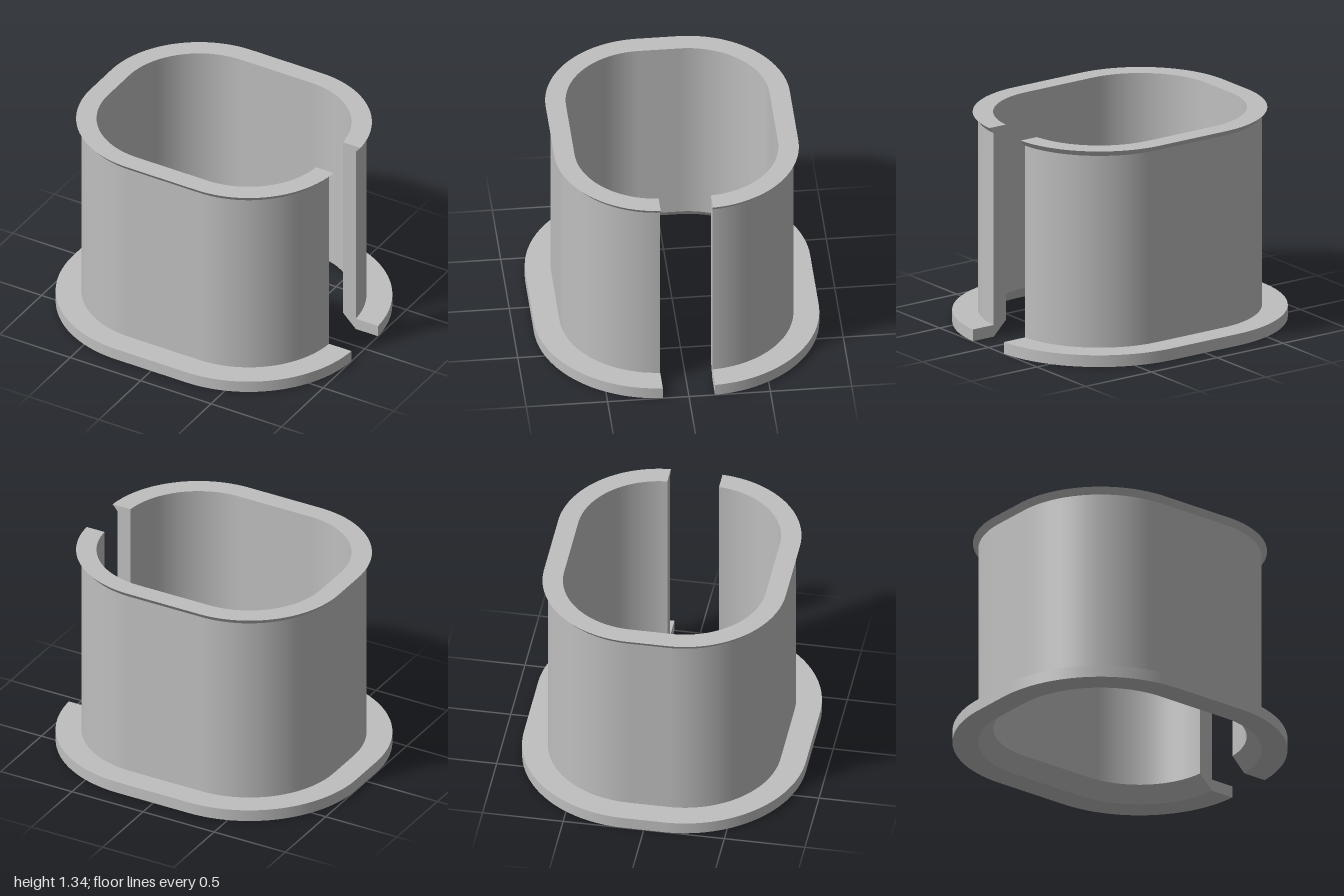
import * as THREE from 'three';

// Rounded-rectangle path: corner centres at (±CX, ±CZ), open at +x between z = ±GAP
const CX = 0.25, CZ = 0.125, GAP = 0.16, STEPS = 32;
const CORNERS = [[CX, CZ], [-CX, CZ], [-CX, -CZ], [CX, -CZ]];
const cutAngle = (r) => Math.asin((GAP - CZ) / r);

// Cross-section corners: [corner radius, height]
const P = {
  chamferLow: [0.592, 0], rimLow: [0.75, 0], rimHigh: [0.75, 0.075],
  wallLow: [0.592, 0.075], wallHigh: [0.592, 1.302],
  lipOuter: [0.625, 1.34], lipInner: [0.5, 1.34], chamferHigh: [0.5, 0.09],
};

// Points and angles along the path for one radius, trimmed flat at the gap
function ring(r) {
  const out = [];
  CORNERS.forEach(([cx, cz], q) => {
    const from = q * Math.PI / 2 + (q === 0 ? cutAngle(r) : 0);
    const to = (q + 1) * Math.PI / 2 - (q === 3 ? cutAngle(r) : 0);
    for (let i = 0; i <= STEPS; i++) {
      const a = from + (to - from) * i / STEPS;
      out.push([cx + r * Math.cos(a), cz + r * Math.sin(a), a]);
    }
  });
  return out;
}

// Sweeps a run of section edges; each edge is its own smooth strip with sharp borders
function sweep(points) {
  const pos = [], nor = [], idx = [];
  for (let k = 0; k < points.length - 1; k++) {
    const [r0, y0] = points[k], [r1, y1] = points[k + 1];
    const len = Math.hypot(r1 - r0, y1 - y0);
    const nr = (y1 - y0) / len, ny = -(r1 - r0) / len;
    const A = ring(r0), B = ring(r1), base = pos.length / 3;
    A.forEach(([x, z, a], i) => {
      pos.push(x, y0, z, B[i][0], y1, B[i][1]);
      for (const t of [a, B[i][2]]) nor.push(nr * Math.cos(t), ny, nr * Math.sin(t));
      if (i < A.length - 1) {
        const p = base + 2 * i;
        idx.push(p, p + 1, p + 2, p + 1, p + 3, p + 2);
      }
    });
  }
  const g = new THREE.BufferGeometry();
  g.setAttribute('position', new THREE.Float32BufferAttribute(pos, 3));
  g.setAttribute('normal', new THREE.Float32BufferAttribute(nor, 3));
  g.setIndex(idx);
  return g;
}

export function createModel() {
  const group = new THREE.Group();
  const grey = new THREE.MeshStandardMaterial({ color: 0xbfbfbf });
  grey.name = 'light grey';
  const add = (name, geometry) => {
    const mesh = new THREE.Mesh(geometry, grey);
    mesh.name = name;
    group.add(mesh);
    return mesh;
  };

  add('baseFlange', sweep([P.chamferLow, P.rimLow, P.rimHigh, P.wallLow]));
  add('outerWall', sweep([P.wallLow, P.wallHigh]));
  add('topLip', sweep([P.wallHigh, P.lipOuter, P.lipInner]));
  add('innerWall', sweep([P.lipInner, P.chamferHigh]));
  add('bottomChamfer', sweep([P.chamferHigh, P.chamferLow]));

  // Flat cut faces on both sides of the gap
  const section = Object.values(P).map(([r, y]) => new THREE.Vector2(CX + r * Math.cos(cutAngle(r)), y));
  const backCut = new THREE.ShapeGeometry(new THREE.Shape(section));
  backCut.translate(0, 0, -GAP);
  add('backCutFace', backCut);

  const mirrored = section.map((p) => new THREE.Vector2(-p.x, p.y)).reverse();
  const frontCut = new THREE.ShapeGeometry(new THREE.Shape(mirrored));
  frontCut.rotateY(Math.PI);
  frontCut.translate(0, 0, GAP);
  add('frontCutFace', frontCut);

  return group;
}
